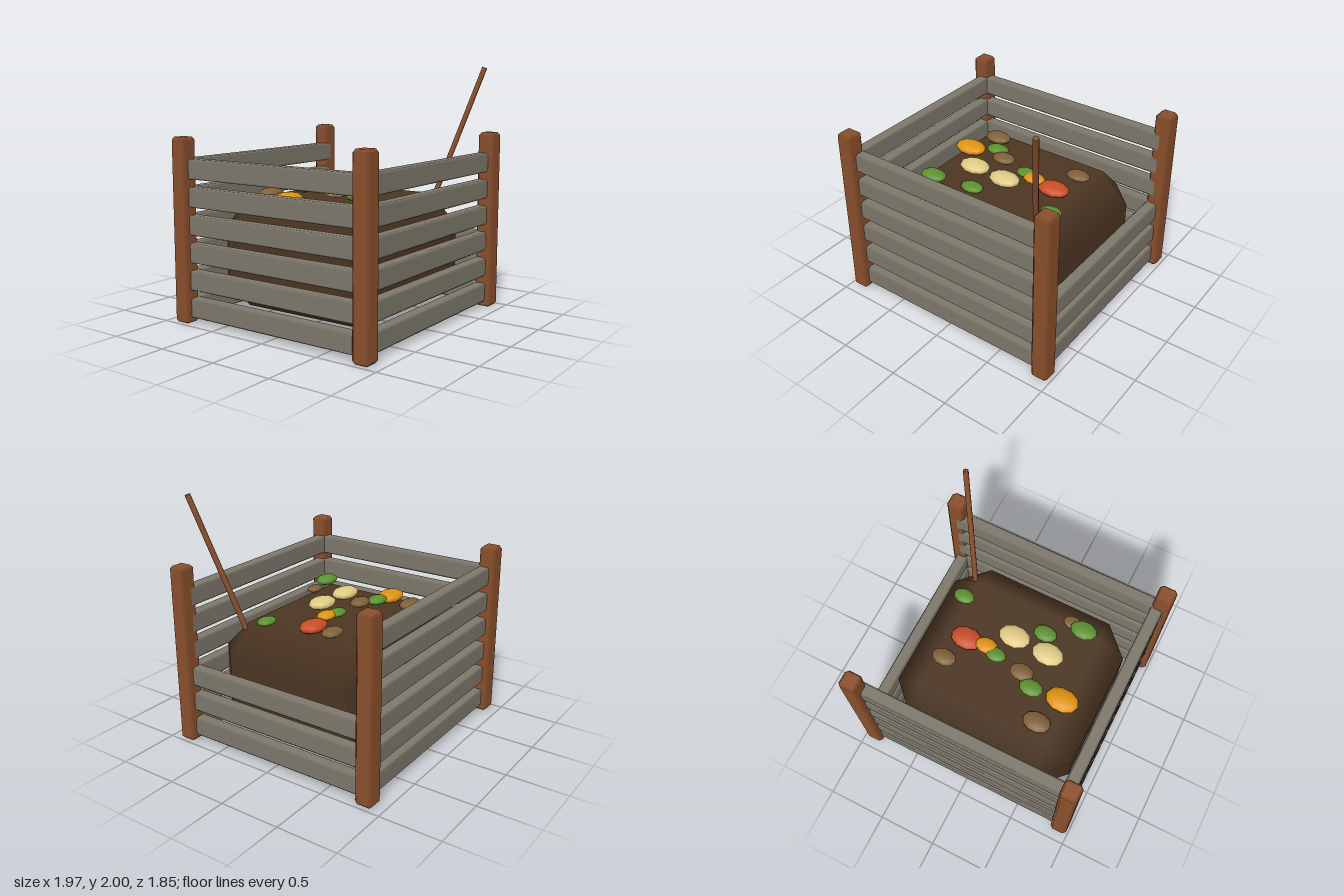
import * as THREE from 'three';

const mat = (name, color) => new THREE.MeshStandardMaterial({ name, color });

// Box with a single chamfer on every edge; normals blend across the chamfer only.
function bevelBox(w, h, d, bevel) {
  const half = [w / 2, h / 2, d / 2];
  const pos = [], nor = [], index = [];
  const id = (corner, axis) => corner * 3 + axis;
  for (let corner = 0; corner < 8; corner++) {
    for (let axis = 0; axis < 3; axis++) {
      for (let k = 0; k < 3; k++) {
        const s = corner & (1 << k) ? 1 : -1;
        pos.push(s * (half[k] - (k === axis ? 0 : bevel)));
        nor.push(k === axis ? s : 0);
      }
    }
  }
  const p = (i) => new THREE.Vector3().fromArray(pos, i * 3);
  // Adds a triangle, turned so that it faces outward
  const tri = (a, b, c) => {
    const n = p(b).sub(p(a)).cross(p(c).sub(p(a)));
    if (n.dot(p(a).add(p(b)).add(p(c))) > 0) index.push(a, b, c);
    else index.push(a, c, b);
  };
  const quad = (a, b, c, e) => { tri(a, b, c); tri(a, c, e); };
  for (let k = 0; k < 3; k++) {
    const u = (k + 1) % 3, v = (k + 2) % 3;
    const U = 1 << u, V = 1 << v, K = 1 << k;
    // Two flat sides across axis k
    for (const s of [0, K]) quad(id(s, k), id(s | U, k), id(s | U | V, k), id(s | V, k));
    // Four chamfers running along axis k
    for (const c of [0, U, V, U | V]) quad(id(c, u), id(c | K, u), id(c | K, v), id(c, v));
  }
  for (let c = 0; c < 8; c++) tri(id(c, 0), id(c, 1), id(c, 2));
  const g = new THREE.BufferGeometry();
  g.setAttribute('position', new THREE.Float32BufferAttribute(pos, 3));
  g.setAttribute('normal', new THREE.Float32BufferAttribute(nor, 3));
  g.setIndex(index);
  return g;
}

export function createModel() {
  const root = new THREE.Group();
  root.name = 'compostBin';

  const postWood = mat('post wood', 0x8a4f2c);
  const slatWood = mat('weathered slat wood', 0x7d786b);
  const soil = mat('compost soil', 0x4c3522);
  const green = mat('leaf green', 0x5c912f);
  const orange = mat('peel orange', 0xe0930f);
  const red = mat('tomato red', 0xc94d28);
  const brown = mat('scrap brown', 0x7f6038);
  const cream = mat('eggshell cream', 0xe0ca85);

  const add = (parent, name, geometry, material, x, y, z) => {
    const m = new THREE.Mesh(geometry, material);
    m.name = name;
    m.position.set(x, y, z);
    parent.add(m);
    return m;
  };
  const group = (name) => {
    const g = new THREE.Group();
    g.name = name;
    root.add(g);
    return g;
  };

  // Corner posts
  const posts = group('posts');
  const postGeo = bevelBox(0.145, 1.465, 0.145, 0.025);
  for (const sx of [-1, 1])
    for (const sz of [-1, 1]) add(posts, 'post', postGeo, postWood, sx * 0.91, 0.7325, sz * 0.85);

  // Slats: six on the front, back and right; the left is left half open
  const slats = group('slats');
  const longSlat = bevelBox(1.82, 0.158, 0.1, 0.016);
  const sideSlat = bevelBox(0.1, 0.158, 1.7, 0.016);
  for (let i = 0; i < 6; i++) {
    const y = 0.122 + i * 0.2195;
    add(slats, 'frontSlat', longSlat, slatWood, 0, y, 0.825);
    add(slats, 'backSlat', longSlat, slatWood, 0, y, -0.825);
    add(slats, 'rightSlat', sideSlat, slatWood, -0.884, y, 0);
    if (i < 3) add(slats, 'leftSlat', sideSlat, slatWood, 0.884, y, 0);
  }

  // Compost heap
  add(root, 'compostHeap', bevelBox(1.595, 0.86, 1.47, 0.235), soil, 0, 0.54, 0);

  // Food scraps lying on the heap: material, x, y, z, size
  const scraps = group('scraps');
  const scrapGeo = new THREE.SphereGeometry(1, 10, 8);
  const list = [
    [brown, -0.42, 1.01, -0.39, 0.118],
    [brown, 0.48, 1.03, -0.245, 0.103],
    [brown, -0.135, 1.05, -0.085, 0.103],
    [brown, -0.31, 1.0, 0.5, 0.08],
    [green, -0.26, 1.05, -0.17, 0.1],
    [green, 0.12, 1.03, -0.04, 0.088],
    [green, -0.15, 0.98, 0.32, 0.1],
    [green, 0.585, 1.03, 0.3, 0.09],
    [green, -0.425, 1.06, 0.455, 0.113],
    [orange, -0.52, 1.0, -0.135, 0.14],
    [orange, 0.22, 1.03, -0.005, 0.096],
    [red, 0.4, 1.0, -0.01, 0.135],
    [cream, -0.255, 1.05, 0.145, 0.135],
    [cream, 0.05, 1.05, 0.16, 0.135],
  ];
  for (const [material, x, y, z, r] of list)
    add(scraps, 'scrap', scrapGeo, material, x, y, z).scale.set(r, r * 0.35, r * 0.72);

  // Turning stick leaning on the front left post
  const foot = new THREE.Vector3(0.588, 0.9, 0.5);
  const tip = new THREE.Vector3(0.805, 1.992, 0.843);
  const dir = tip.clone().sub(foot);
  const mid = foot.clone().add(tip).multiplyScalar(0.5);
  const stick = add(root, 'turningStick', new THREE.CylinderGeometry(0.022, 0.022, dir.length(), 8),
    postWood, mid.x, mid.y, mid.z);
  stick.quaternion.setFromUnitVectors(new THREE.Vector3(0, 1, 0), dir.normalize());

  return root;
}
